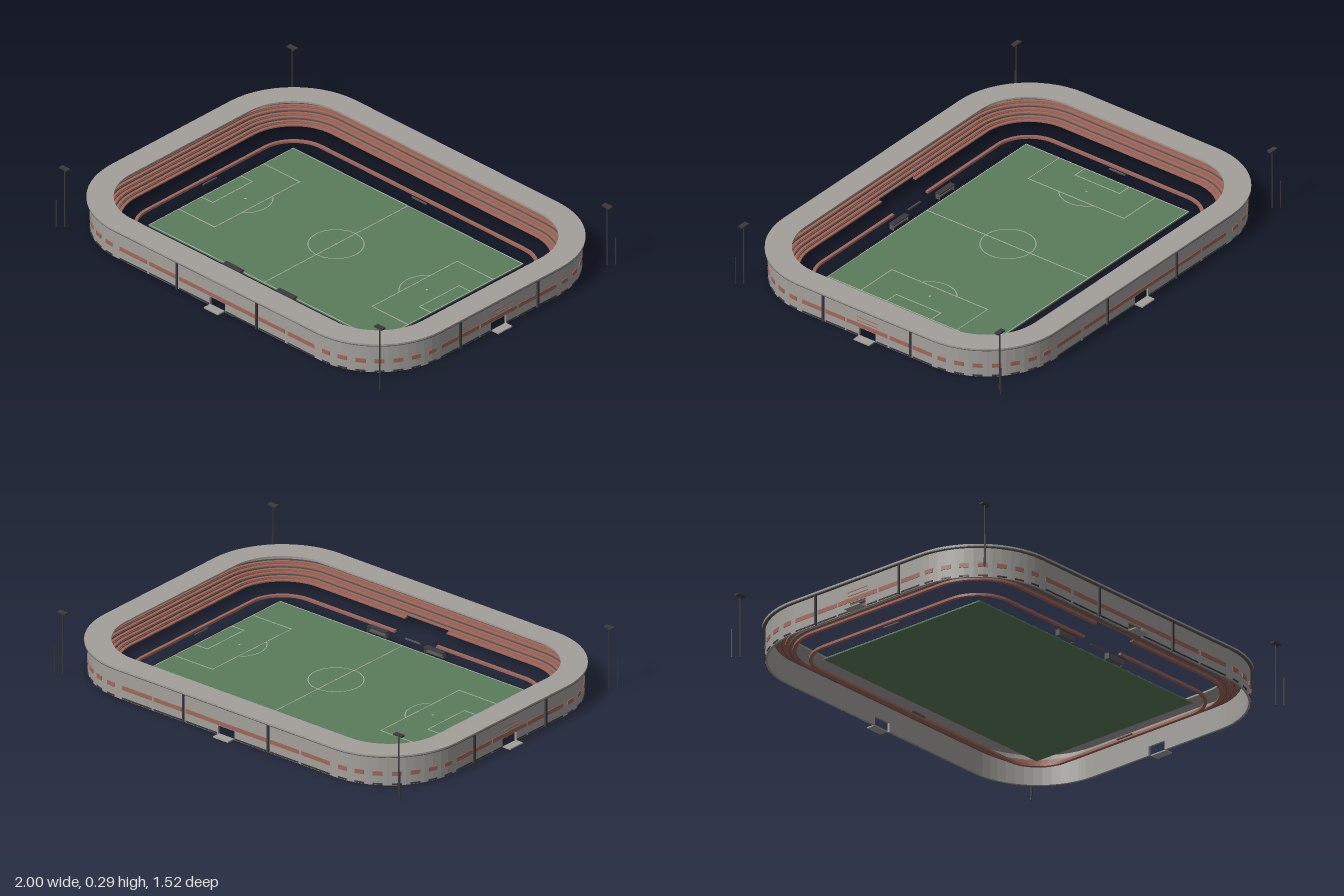
import * as THREE from 'three';

const mat = (name, color) => new THREE.MeshStandardMaterial({ name, color });

export function createModel() {
  const root = new THREE.Group();
  root.name = 'stadium';
  const concrete = mat('concrete', 0xa3a09b);
  const trim = mat('darkTrim', 0x5a5856);
  const seatRed = mat('seatRed', 0xa0675a);
  const steel = mat('steel', 0x3a3a3c);
  const grass = mat('grass', 0x5b7b5b);
  const paint = mat('linePaint', 0xa9b5a2);
  const CX = 0.6, CZ = 0.36; // centre of each rounded corner
  const corners = [[1, 1], [-1, 1], [1, -1], [-1, -1]];

  const group = (name) => {
    const g = new THREE.Group();
    g.name = name;
    root.add(g);
    return g;
  };
  const add = (parent, name, geo, material) => {
    const m = new THREE.Mesh(geo, material);
    m.name = name;
    parent.add(m);
    return m;
  };
  const box = (parent, name, material, w, h, d, x, y, z, ry = 0) => {
    const m = add(parent, name, new THREE.BoxGeometry(w, h, d), material);
    m.position.set(x, y, z);
    m.rotation.y = ry;
    return m;
  };

  // rounded-rectangle ring between offsets r1 and r2, with optional gaps mid-side
  function band(name, material, r1, r2, y0, y1, { front = 0, back = 0, side = 0 } = {}) {
    const g = group(name), N = 14;
    for (const [sx, sz] of corners) {
      const gx = sz > 0 ? front : back, pts = [];
      const p = (x, z) => pts.push(new THREE.Vector2(sx * x, sz * z));
      const arc = (r, i) => {
        const a = (i / N) * Math.PI / 2;
        p(CX + r * Math.sin(a), CZ + r * Math.cos(a));
      };
      p(gx, CZ + r2);
      for (let i = 0; i <= N; i++) arc(r2, i);
      p(CX + r2, side);
      p(CX + r1, side);
      for (let i = N; i >= 0; i--) arc(r1, i);
      p(gx, CZ + r1);
      const geo = new THREE.ExtrudeGeometry(new THREE.Shape(pts), { depth: y1 - y0, bevelEnabled: false });
      geo.rotateX(Math.PI / 2).translate(0, y1, 0);
      add(g, name + 'Quarter', geo, material);
    }
  }

  // outer wall with four gates, and roof
  const gate = { front: 0.045, back: 0.045, side: 0.045 };
  band('lowerWall', concrete, 0.35, 0.36, 0, 0.042, gate);
  band('upperWall', concrete, 0.35, 0.36, 0.042, 0.138);
  band('roof', concrete, 0.26, 0.375, 0.139, 0.147);
  band('roofFascia', trim, 0.36, 0.374, 0.135, 0.139);

  // stepped seating under the roof; lowest row opens for the tunnel
  for (let i = 0; i < 6; i++) {
    const r = 0.228 + i * 0.016, y = 0.042 + i * 0.01;
    const gap = i === 0 ? { front: 0.115 } : {};
    band('seatRow', seatRed, r, r + 0.013, y, y + 0.006, gap);
    band('seatRiser', i % 2 ? trim : seatRed, r + 0.013, r + 0.016, y, y + 0.012, gap);
  }
  // pitch-side barrier
  band('barrier', seatRed, 0.161, 0.175, 0, 0.011, { front: 0.115 });

  // dashed window strips and pilasters on the wall
  const windows = group('wallStrips');
  const strip = (material, y, h) => {
    for (const s of [1, -1]) {
      for (const t of [1, -1]) {
        for (const [a, b] of [[0.05, 0.225], [0.245, 0.4], [0.415, 0.575]])
          box(windows, 'strip', material, b - a, h, 0.004, t * (a + b) / 2, y, s * (CZ + 0.36));
        for (const [a, b] of [[0.05, 0.11], [0.12, 0.225], [0.245, 0.35]])
          box(windows, 'strip', material, 0.004, h, b - a, s * (CX + 0.36), y, t * (a + b) / 2);
        for (let i = 0; i < 7; i++) {
          const a = (i + 0.5) / 7 * Math.PI / 2;
          box(windows, 'cornerStrip', material, 0.042, h, 0.005,
            s * (CX + 0.36 * Math.sin(a)), y, t * (CZ + 0.36 * Math.cos(a)), s * t * a);
        }
      }
      // strip over each gate
      if (h > 0.015) {
        box(windows, 'gateStrip', material, 0.1, h, 0.004, 0, y, s * (CZ + 0.36));
        box(windows, 'gateStrip', material, 0.004, h, 0.1, s * (CX + 0.36), y, 0);
      }
    }
  };
  strip(seatRed, 0.055, 0.019);
  strip(steel, 0.006, 0.007);

  const details = group('wallDetails');
  for (const s of [1, -1]) {
    for (const t of [1, -1]) {
      box(details, 'pilaster', steel, 0.009, 0.135, 0.012, t * 0.235, 0.0675, s * 0.722);
      box(details, 'pilaster', steel, 0.012, 0.135, 0.009, s * 0.962, 0.0675, t * 0.235);
    }
    // gate thresholds, sign strips and pitch-side boards
    box(details, 'gateStep', concrete, 0.084, 0.006, 0.04, 0, 0.003, s * 0.738);
    box(details, 'gateStep', concrete, 0.04, 0.006, 0.084, s * 0.98, 0.003, 0);
    for (const y of [0.076, 0.094])
      box(details, 'gateLine', seatRed, 0.004, 0.003, 0.11, s * 0.96, y, 0);
    box(details, 'board', trim, 0.084, 0.006, 0.006, 0, 0.003, s * 0.505);
    box(details, 'board', trim, 0.006, 0.006, 0.084, s * 0.745, 0.003, 0);
  }

  // pitch and markings
  const pitch = group('pitch');
  box(pitch, 'turf', grass, 1.36, 0.006, 0.88, 0, 0.003, 0);
  const W = 0.004, LY = 0.0065;
  const line = (x1, z1, x2, z2) => box(pitch, 'line', paint,
    Math.abs(x2 - x1) + W, 0.001, Math.abs(z2 - z1) + W, (x1 + x2) / 2, LY, (z1 + z2) / 2);
  const curve = (x, r1, r2, start, len) => {
    const geo = new THREE.RingGeometry(r1, r2, 40, 1, start, len).rotateX(-Math.PI / 2);
    add(pitch, 'curvedLine', geo, paint).position.set(x, LY + 0.0005, 0);
  };
  line(0, -0.436, 0, 0.436);
  curve(0, 0.117, 0.121, 0, Math.PI * 2);
  curve(0, 0, 0.005, 0, Math.PI * 2);
  for (const s of [1, -1]) {
    line(-0.677, s * 0.437, 0.677, s * 0.437);
    line(s * 0.677, -0.437, s * 0.677, 0.437);
    for (const [x, z] of [[0.465, 0.258], [0.61, 0.12]]) {
      line(s * x, -z, s * x, z);
      for (const t of [1, -1]) line(s * x, t * z, s * 0.677, t * z);
    }
    const half = Math.acos(0.07 / 0.117);
    curve(s * 0.535, 0.115, 0.119, (s > 0 ? Math.PI : 0) - half, half * 2);
    curve(s * 0.535, 0, 0.005, 0, Math.PI * 2);
  }

  // team shelters
  for (const s of [1, -1]) {
    const g = group('shelter');
    box(g, 'shelterRoof', steel, 0.105, 0.004, 0.027, s * 0.157, 0.028, 0.462);
    box(g, 'shelterBack', trim, 0.1, 0.026, 0.004, s * 0.157, 0.013, 0.473);
    box(g, 'bench', trim, 0.094, 0.008, 0.01, s * 0.157, 0.006, 0.464);
    for (const t of [1, -1])
      box(g, 'shelterSide', trim, 0.003, 0.026, 0.022, s * 0.157 + t * 0.049, 0.013, 0.463);
  }

  // floodlights with a short mast beside each
  for (const [sx, sz] of corners) {
    const g = group('floodlight');
    add(g, 'pole', new THREE.CylinderGeometry(0.003, 0.004, 0.284, 8), steel)
      .position.set(sx * 0.93, 0.142, sz * 0.69);
    box(g, 'lampHead', steel, 0.045, 0.007, 0.022, sx * 0.93, 0.287, sz * 0.69);
    add(g, 'shortMast', new THREE.CylinderGeometry(0.003, 0.003, 0.13, 6), steel)
      .position.set(sx * 0.955, 0.065, sz * 0.715);
  }
  return root;
}
